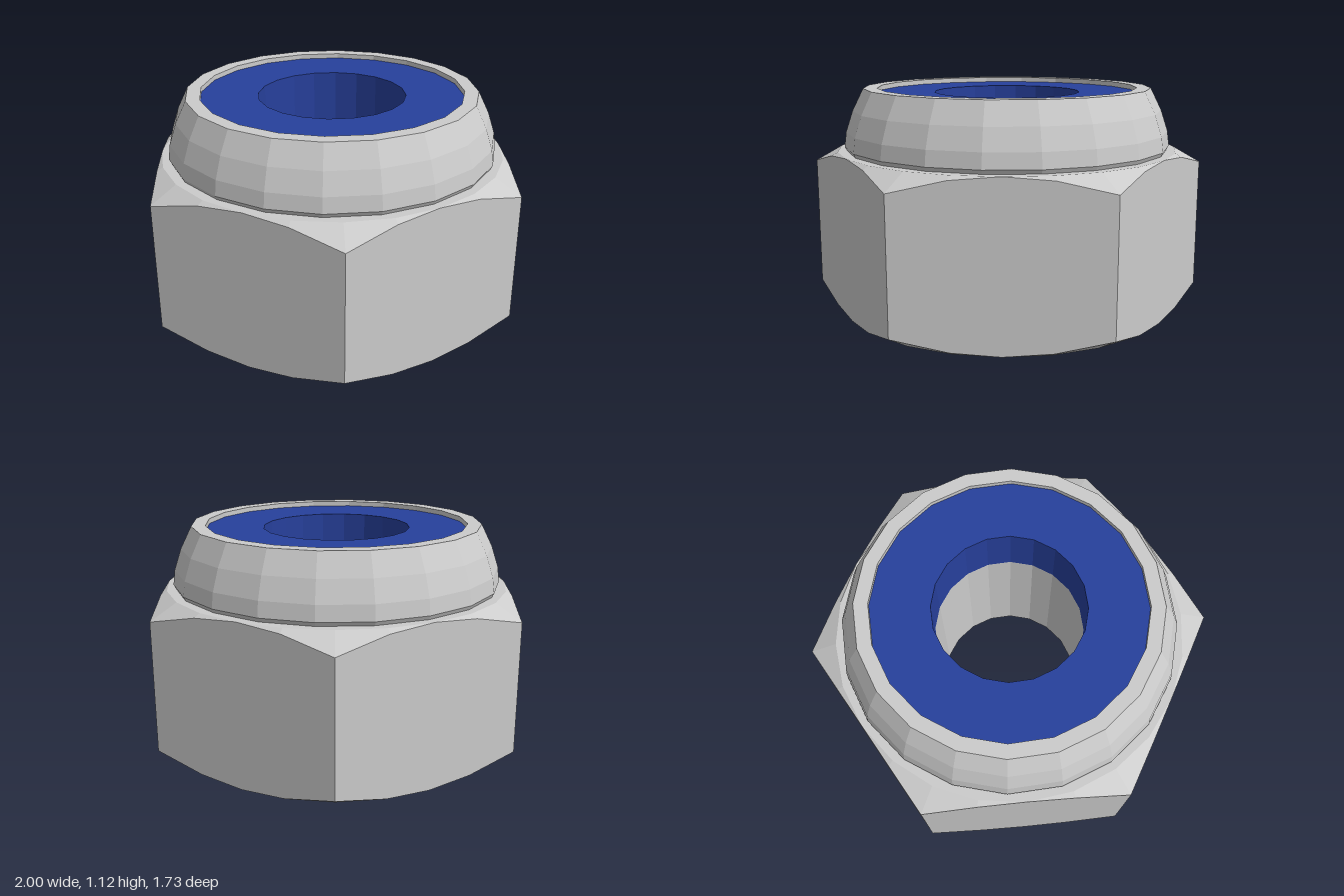
import * as THREE from 'three';

const APOTHEM = Math.cos(Math.PI / 6); // hexagon with corner radius 1
const HEX_TOP = 0.81;
const CHAMFER = 0.077; // height lost at each corner
const BORE = 0.37;
const SIDES = 20;
const HEX_STEPS = 24; // four columns per flat

const steel = new THREE.MeshStandardMaterial({ color: 0xcccccc, flatShading: true });
const blue = new THREE.MeshStandardMaterial({ color: 0x27409c, flatShading: true });

function named(name, geometry, material) {
  const mesh = new THREE.Mesh(geometry, material);
  mesh.name = name;
  return mesh;
}

function lathe(profile) {
  return new THREE.LatheGeometry(profile.map(([r, y]) => new THREE.Vector2(r, y)), SIDES);
}

function circlePoints(radius, count) {
  return Array.from({ length: count }, (_, i) => {
    const a = (i / count) * Math.PI * 2;
    return new THREE.Vector2(Math.cos(a) * radius, Math.sin(a) * radius);
  });
}

// Flat ring facing up (dir 1) or down (dir -1)
function flatRing(outer, inner, y, dir) {
  const shape = new THREE.Shape(circlePoints(outer, HEX_STEPS));
  shape.holes.push(new THREE.Path(circlePoints(inner, SIDES)));
  return new THREE.ShapeGeometry(shape).rotateX(-dir * Math.PI / 2).translate(0, y, 0);
}

// Hexagonal wall whose corners are cut back by a cone at both ends
function hexWall() {
  const positions = [];
  const column = (i) => {
    const a = (i / HEX_STEPS) * Math.PI * 2;
    const fromFlat = (a % (Math.PI / 3)) - Math.PI / 6;
    const r = APOTHEM / Math.cos(fromFlat);
    const cut = CHAMFER * Math.max(0, r - APOTHEM) / (1 - APOTHEM);
    return [[APOTHEM, 0], [r, cut], [r, HEX_TOP - cut], [APOTHEM, HEX_TOP]]
      .map(([radius, y]) => [Math.cos(a) * radius, y, Math.sin(a) * radius]);
  };
  for (let i = 0; i < HEX_STEPS; i++) {
    const p = column(i);
    const q = column((i + 1) % HEX_STEPS);
    for (let k = 0; k < 3; k++) {
      for (const v of [q[k], p[k], p[k + 1], q[k], p[k + 1], q[k + 1]]) positions.push(...v);
    }
  }
  const geometry = new THREE.BufferGeometry();
  geometry.setAttribute('position', new THREE.Float32BufferAttribute(positions, 3));
  geometry.computeVertexNormals();
  return geometry;
}

export function createModel() {
  const model = new THREE.Group();
  model.name = 'lockNut';

  // Hexagonal body with a countersunk bore
  const body = new THREE.Group();
  body.name = 'hexBody';
  body.add(
    named('hexWall', hexWall(), steel),
    named('topFace', flatRing(APOTHEM, 0.815, HEX_TOP, 1), steel),
    named('bottomFace', flatRing(APOTHEM, 0.47, 0, -1), steel),
    named('bore', lathe([[BORE, HEX_TOP], [BORE, 0.07], [0.47, 0]]), steel),
  );

  // Rounded collar crimped over the insert
  const collar = named('collar', lathe([
    [0.82, HEX_TOP], [0.83, 0.83], [0.82, 0.905], [0.785, 1.01], [0.73, 1.12],
    [0.66, 1.12], [0.66, 1.09],
  ]), steel);

  // Slightly recessed locking insert
  const insert = named('lockingInsert', lathe([
    [0.66, 1.095], [BORE, 1.095], [BORE, HEX_TOP],
  ]), blue);

  model.add(body, collar, insert);
  return model;
}
